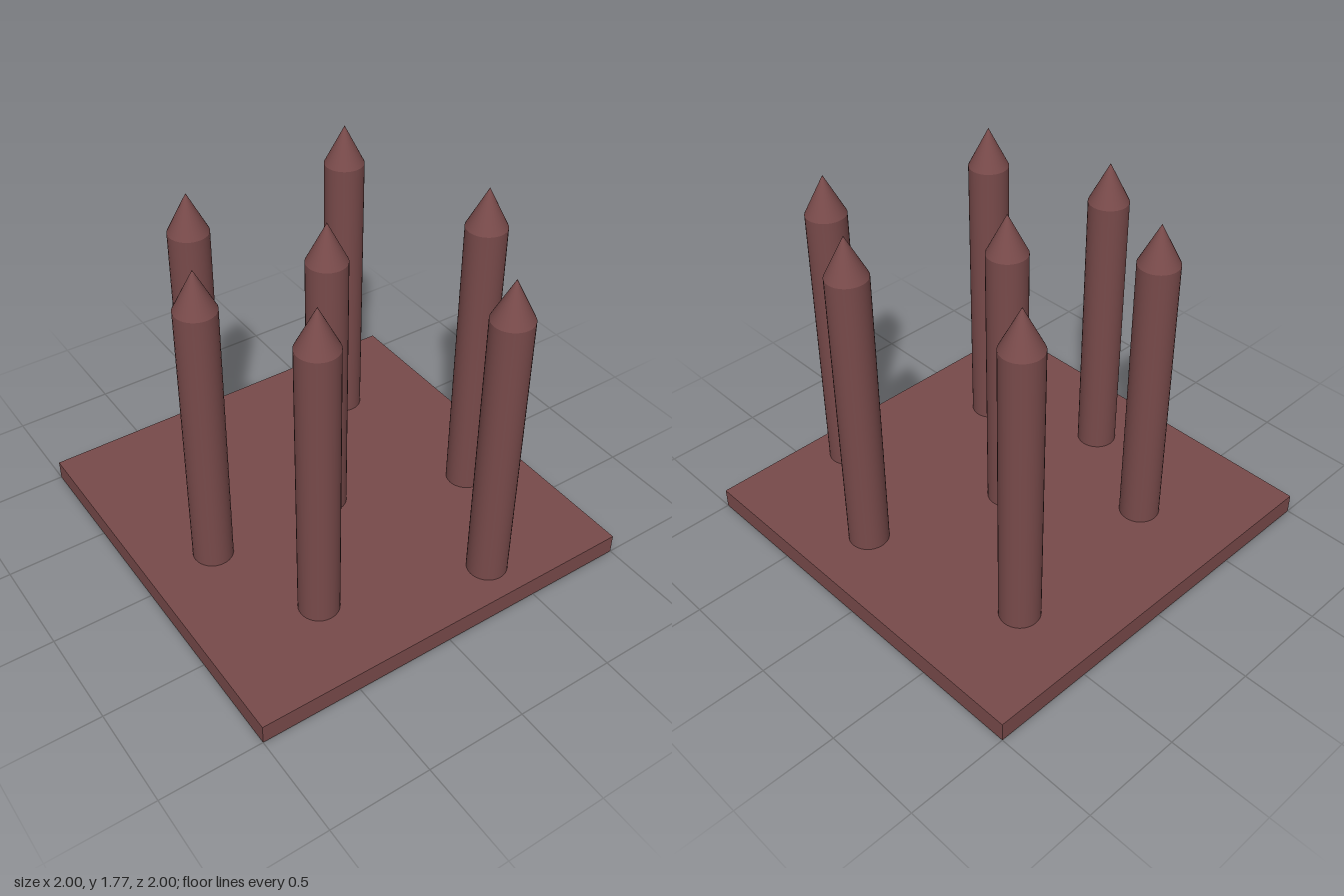
import * as THREE from 'three';

const BASE_HEIGHT = 0.1;
const RADIUS = 0.098;
const TIP_HEIGHT = 0.195;

// x, z and total height of each stake
const STAKES = [
  [0, 0, 1.705],
  [0.685, 0.25, 1.775],
  [0.37, 0.803, 1.72],
  [-0.427, 0.567, 1.76],
  [-0.657, 0, 1.705],
  [-0.39, -0.532, 1.72],
  [0.511, -0.607, 1.76],
];

export function createModel() {
  const model = new THREE.Group();
  model.name = 'spikeTrap';
  const material = new THREE.MeshStandardMaterial({ color: 0x784a4a });

  function add(parent, name, geometry, y) {
    const mesh = new THREE.Mesh(geometry, material);
    mesh.name = name;
    mesh.position.y = y;
    parent.add(mesh);
  }

  // Square floor slab
  add(model, 'base', new THREE.BoxGeometry(2, BASE_HEIGHT, 2), BASE_HEIGHT / 2);

  // Round stakes with pointed tips
  const tip = new THREE.ConeGeometry(RADIUS, TIP_HEIGHT, 32, 1, true);
  for (const [x, z, top] of STAKES) {
    const stake = new THREE.Group();
    stake.name = 'stake';
    stake.position.set(x, 0, z);
    const length = top - TIP_HEIGHT - BASE_HEIGHT;
    add(stake, 'shaft', new THREE.CylinderGeometry(RADIUS, RADIUS, length, 32, 1, true), BASE_HEIGHT + length / 2);
    add(stake, 'tip', tip, top - TIP_HEIGHT / 2);
    model.add(stake);
  }

  return model;
}
